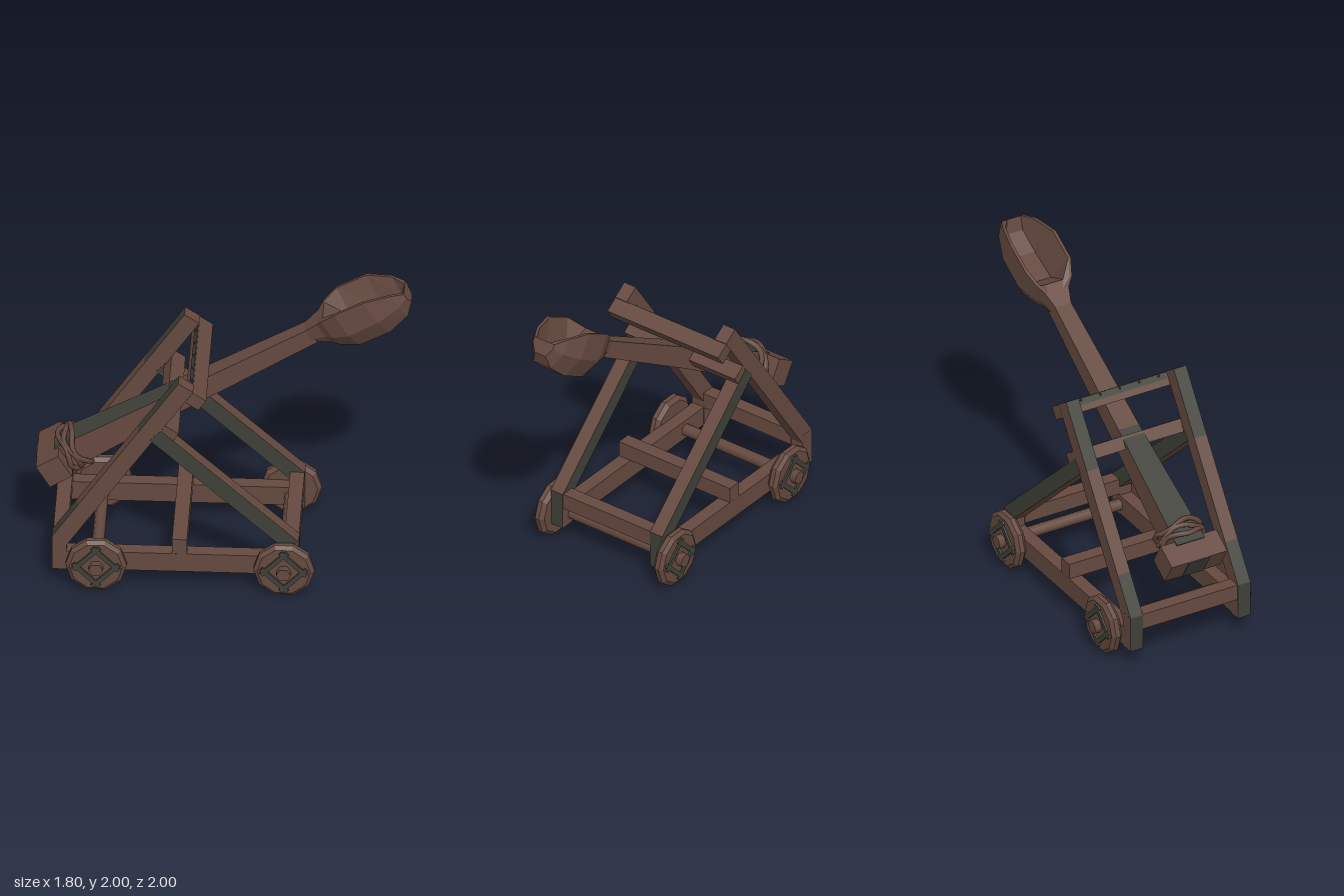
import * as THREE from 'three';

export function createModel() {
  const B = new THREE.MeshStandardMaterial({ color: 0x65493f });
  B.name = 'brownWood';
  const D = new THREE.MeshStandardMaterial({ color: 0x40403a });
  D.name = 'darkWood';

  // material list for a box: names of the faces that are dark
  const faces = (...dark) => ['px', 'nx', 'py', 'ny', 'pz', 'nz'].map(f => (dark.includes(f) ? D : B));

  const add = (parent, name, geo, mat, x = 0, y = 0, z = 0) => {
    const m = new THREE.Mesh(geo, mat);
    m.name = name;
    m.position.set(x, y, z);
    parent.add(m);
    return m;
  };
  const box = (parent, name, w, h, d, x, y, z, mat = B) =>
    add(parent, name, new THREE.BoxGeometry(w, h, d), mat, x, y, z);

  // square bar between two [z, y] points; k scales the far end
  const beam = (parent, name, x, [z0, y0], [z1, y1], w, d, mat = B, k = 1) => {
    const len = Math.hypot(z1 - z0, y1 - y0);
    const geo = new THREE.BoxGeometry(w, len, d);
    const p = geo.attributes.position;
    for (let i = 0; i < p.count; i++) {
      if (p.getY(i) > 0) p.setXYZ(i, p.getX(i) * k, p.getY(i), p.getZ(i) * k);
    }
    geo.computeVertexNormals();
    const m = add(parent, name, geo, mat, x, (y0 + y1) / 2, (z0 + z1) / 2);
    m.rotation.x = Math.atan2(z1 - z0, y1 - y0);
    return m;
  };
  const mix = (a, b, t) => [a[0] + (b[0] - a[0]) * t, a[1] + (b[1] - a[1]) * t];

  const body = new THREE.Group();
  body.name = 'catapult';
  body.position.x = 0.023;

  // side frames: rail, feet, leaning leg and rear brace
  const foot = [0.8655, 0.329], head = [0.0815, 1.489];
  for (const s of [-1, 1]) {
    const x = s * 0.387;
    box(body, 'rail', 0.09, 0.13, 1.352, x, 0.19, 0.146);
    box(body, 'frontFoot', 0.092, 0.24, 0.09, x, 0.24, 0.866, faces('pz', 'py'));
    box(body, 'rearFoot', 0.092, 0.25, 0.09, x, 0.245, -0.575, faces('nz', 'py'));
    beam(body, 'legLower', x, foot, mix(foot, head, 0.2), 0.09, 0.11, faces('pz'));
    beam(body, 'legMiddle', x, mix(foot, head, 0.2), mix(foot, head, 0.68), 0.09, 0.11);
    beam(body, 'legUpper', x, mix(foot, head, 0.68), head, 0.09, 0.11, faces('pz'));
    beam(body, 'brace', x, [-0.586, 0.333], [0.27, 1.13], 0.095, 0.1, faces('px', 'nx'));
  }

  // lower cross beams
  box(body, 'frontCrossBeam', 0.684, 0.105, 0.09, 0, 0.308, 0.862);
  box(body, 'middleCrossBeam', 0.864, 0.105, 0.093, 0, 0.308, 0.12);
  box(body, 'rearCrossBeam', 0.684, 0.105, 0.09, 0, 0.32, -0.573);

  // upper cross bars behind the legs
  const lean = Math.atan2(head[0] - foot[0], head[1] - foot[1]);
  for (const [name, y, z] of [['topBar', 1.39, 0.02], ['stopBar', 1.14, 0.19]]) {
    const bar = box(body, name, 0.864, 0.085, 0.1, 0, y, z);
    bar.rotation.x = lean;
    if (name === 'topBar') {
      box(bar, 'barStrip', 0.66, 0.04, 0.006, 0, 0.02, 0.052, D);
      for (let i = -2; i <= 2; i++) {
        add(bar, 'stud', new THREE.ConeGeometry(0.012, 0.02, 4), D, i * 0.14, 0.03, 0.06).rotation.x = Math.PI / 2;
      }
    }
  }

  // axles and wheels
  const wheelGeo = new THREE.LatheGeometry(
    [[0, -0.04], [0.165, -0.04], [0.19, -0.015], [0.19, 0.015], [0.165, 0.035], [0, 0.035]]
      .map(([r, h]) => new THREE.Vector2(r, h)), 10).toNonIndexed();
  wheelGeo.computeVertexNormals();
  for (const z of [0.635, -0.53]) {
    add(body, 'axle', new THREE.CylinderGeometry(0.038, 0.038, 0.9, 8), B, 0, 0.19, z).rotation.z = Math.PI / 2;
    for (const s of [-1, 1]) {
      const wheel = new THREE.Group();
      wheel.name = 'wheel';
      wheel.position.set(s * 0.467, 0.19, z);
      wheel.rotation.z = -s * Math.PI / 2;
      add(wheel, 'wheelDisc', wheelGeo, B);
      add(wheel, 'hub', new THREE.CylinderGeometry(0.045, 0.045, 0.07, 6), B, 0, 0.045, 0);
      // diamond of crossing slats on the outer face
      for (let i = 0; i < 4; i++) {
        const turn = new THREE.Group();
        turn.name = 'slat';
        turn.rotation.y = Math.PI / 4 + i * Math.PI / 2;
        box(turn, 'wheelSlat', 0.03, 0.014, 0.23, 0.085, 0.04, 0, D);
        wheel.add(turn);
      }
      body.add(wheel);
    }
  }

  // throwing arm: local y runs from the weight to the spoon, local z faces up
  const arm = new THREE.Group();
  arm.name = 'throwingArm';
  arm.position.set(0, 0.685, 0.91);
  arm.rotation.x = Math.atan2(-0.855, 0.518);
  body.add(arm);
  beam(arm, 'armLower', 0, [0, 0.05], [0, 0.92], 0.2, 0.19, faces('pz', 'nz'), 0.73);
  beam(arm, 'armUpper', 0, [0, 0.92], [0, 1.87], 0.146, 0.139, faces('nz'), 0.78);
  box(arm, 'counterweight', 0.4, 0.16, 0.17, 0, 0, 0);
  box(arm, 'weightPlate', 0.15, 0.008, 0.165, 0, -0.082, 0, D);

  // rope coils
  for (let c = 0; c < 3; c++) {
    const pts = [];
    for (let i = 0; i < 12; i++) {
      const a = (i / 12) * Math.PI * 2;
      pts.push(new THREE.Vector3(Math.cos(a) * 0.15, 0.11 + c * 0.035 + 0.018 * Math.sin(3 * a + c * 2), Math.sin(a) * 0.13));
    }
    const path = new THREE.CatmullRomCurve3(pts, true);
    add(arm, 'rope', new THREE.TubeGeometry(path, 30, 0.018, 5, true), B);
  }

  // spoon sections: distance, half width, bottom, rim, hollow depth
  const sections = [
    [-0.02, 0.057, -0.055, 0.055, 0], [0.08, 0.085, -0.1, 0.075, 0],
    [0.13, 0.125, -0.135, 0.1, 0.01], [0.24, 0.165, -0.18, 0.125, 0.2],
    [0.45, 0.165, -0.19, 0.115, 0.22], [0.6, 0.12, -0.155, 0.05, 0.12],
    [0.665, 0.078, -0.09, 0, 0],
  ];
  const pos = [], idx = [], N = 10;
  sections.forEach(([s, w, lo, hi, cav], j) => {
    const mid = lo * 0.35 + hi * 0.1, r = w - 0.02;
    [[-w, hi], [-w, mid], [-w * 0.55, lo], [w * 0.55, lo], [w, mid], [w, hi],
      [r, hi], [w * 0.5, hi - cav], [-w * 0.5, hi - cav], [-r, hi]].forEach(([x, z]) => pos.push(x, s, z));
    for (let i = 0; j > 0 && i < N; i++) {
      const a = (j - 1) * N + i, b = (j - 1) * N + (i + 1) % N;
      idx.push(a, a + N, b, b, a + N, b + N);
    }
  });
  const last = (sections.length - 1) * N;
  for (let i = 1; i < N - 1; i++) idx.push(0, i, i + 1, last, last + i + 1, last + i);
  const raw = new THREE.BufferGeometry();
  raw.setAttribute('position', new THREE.Float32BufferAttribute(pos, 3));
  raw.setIndex(idx);
  const spoonGeo = raw.toNonIndexed();
  spoonGeo.computeVertexNormals();
  add(arm, 'spoon', spoonGeo, B, 0, 1.864, 0);

  // the machine stands turned on the ground
  const root = new THREE.Group();
  root.name = 'model';
  const turned = new THREE.Group();
  turned.name = 'turnedBody';
  turned.rotation.y = -0.7;
  turned.add(body);
  root.add(turned);
  return root;
}
